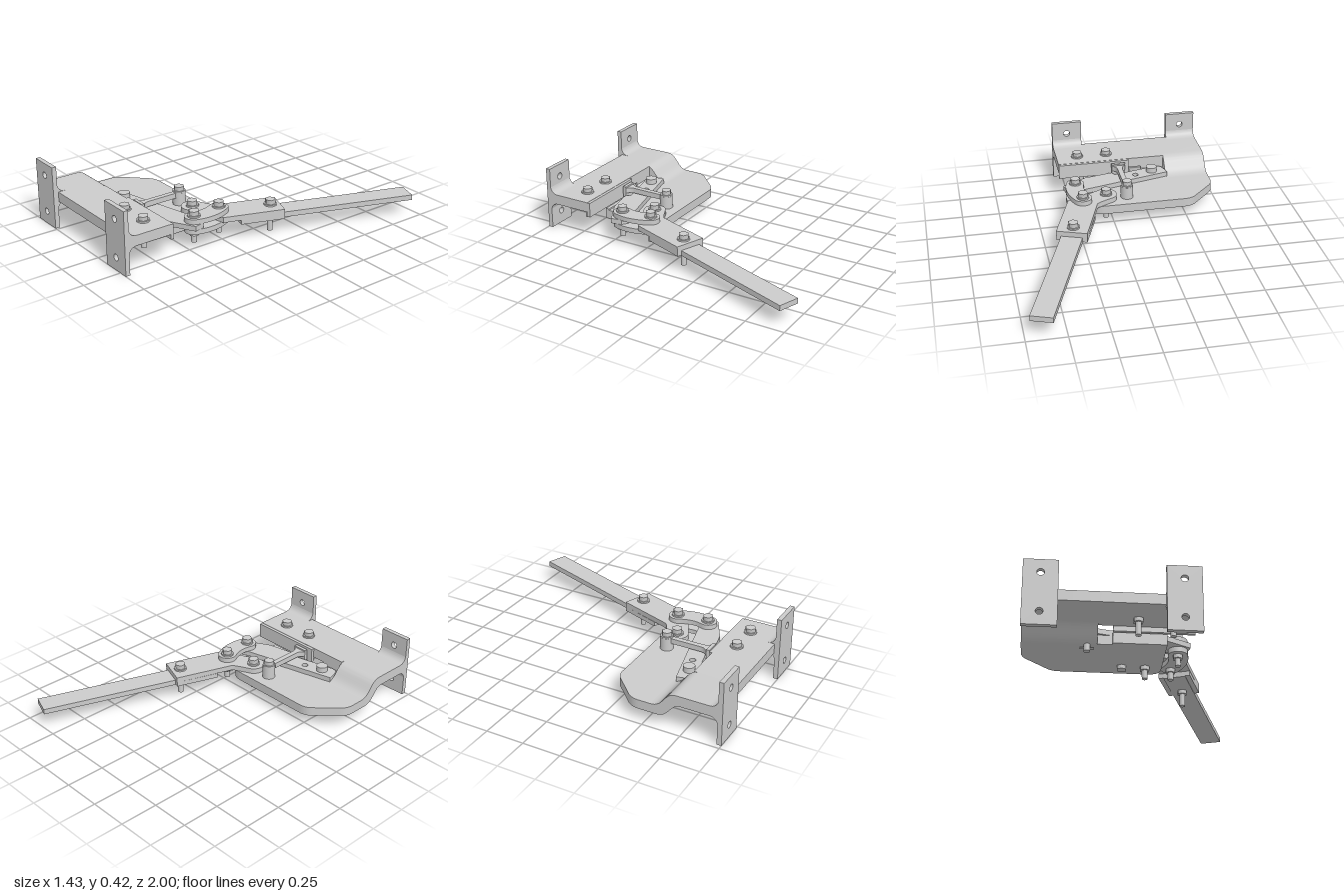
import * as THREE from 'three';
import { toCreasedNormals } from 'three/addons/utils/BufferGeometryUtils.js';

export function createModel() {
  const model = new THREE.Group();
  const mat = new THREE.MeshStandardMaterial({ color: 0xcccccc });
  const V = (x, y) => new THREE.Vector2(x, y);

  function add(name, geo, parent = model) {
    const mesh = new THREE.Mesh(geo, mat);
    mesh.name = name;
    parent.add(mesh);
    return mesh;
  }
  function extrude(shape, depth) {
    return toCreasedNormals(new THREE.ExtrudeGeometry(shape, { depth, bevelEnabled: false, curveSegments: 20 }), 0.5);
  }
  // Flat plate lying between heights y0 and y1; shape drawn as (x, -z)
  function plate(name, shape, y0, y1) {
    return add(name, extrude(shape, y1 - y0).rotateX(-Math.PI / 2).translate(0, y0, 0));
  }
  const poly = pts => new THREE.Shape(pts.map(([x, z]) => V(x, -z)));
  function box(name, x0, x1, y0, y1, z0, z1) {
    return add(name, new THREE.BoxGeometry(x1 - x0, y1 - y0, z1 - z0)
      .translate((x0 + x1) / 2, (y0 + y1) / 2, (z0 + z1) / 2));
  }
  function cyl(name, r, x, y0, y1, z, sides = 28, parent = model) {
    return add(name, new THREE.CylinderGeometry(r, r, y1 - y0, sides).translate(x, (y0 + y1) / 2, z), parent);
  }
  function hole(shape, x, y, r) {
    shape.holes.push(new THREE.Path().absarc(x, y, r, 0, Math.PI * 2, true));
  }
  // Side section drawn as (z, y), extruded along x from x0 to x1
  function section(name, shape, x0, x1) {
    return add(name, extrude(shape, x1 - x0).rotateY(-Math.PI / 2).translate(x1, 0, 0));
  }

  // Body: upper shelf, S-bend and lower table
  function bend(pocket) {
    const s = new THREE.Shape();
    s.moveTo(0.965, 0.245);
    s.lineTo(0.965, 0.178);
    s.lineTo(0.73, 0.178);
    s.bezierCurveTo(0.67, 0.178, 0.66, 0.08, 0.58, 0.08);
    s.lineTo(0.54, 0.08);
    s.lineTo(0.54, 0.14);
    if (pocket) {
      s.lineTo(0.655, 0.14);
      s.lineTo(0.675, 0.16);
      s.lineTo(0.675, 0.245);
    } else {
      s.bezierCurveTo(0.63, 0.14, 0.62, 0.245, 0.71, 0.245);
    }
    return s;
  }
  section('bodyBend', bend(false), -0.72, -0.43);
  section('bodyBendPocket', bend(true), -0.43, -0.27);
  box('upperShelf', -0.27, 0.31, 0.178, 0.245, 0.675, 0.965);

  const table = new THREE.Shape();
  table.moveTo(-0.72, -0.54);
  table.lineTo(-0.72, -0.46);
  table.quadraticCurveTo(-0.72, -0.41, -0.685, -0.375);
  table.lineTo(-0.56, -0.25);
  table.quadraticCurveTo(-0.53, -0.22, -0.48, -0.22);
  table.lineTo(0.06, -0.22);
  table.quadraticCurveTo(0.145, -0.22, 0.145, -0.30);
  table.lineTo(0.145, -0.62);
  table.lineTo(-0.27, -0.62);
  table.lineTo(-0.27, -0.54);
  plate('lowerTable', table, 0.08, 0.14);

  // Cutting edges beside the gap
  box('lowerBlade', -0.18, 0.145, 0.08, 0.15, 0.62, 0.645);
  box('upperBlade', -0.18, 0.31, 0.145, 0.243, 0.655, 0.675);

  // Mounting feet with holes and fillets above and below the shelf
  for (const [x0, x1] of [[-0.72, -0.515], [0.103, 0.31]]) {
    const foot = new THREE.Shape([V(x0, 0), V(x1, 0), V(x1, 0.418), V(x0, 0.418)]);
    const xc = (x0 + x1) / 2;
    hole(foot, xc, 0.085, 0.022);
    hole(foot, xc, 0.335, 0.022);
    add('mountingFoot', extrude(foot, 0.03).translate(0, 0, 0.97));
    for (const [y, dir] of [[0.245, 1], [0.178, -1]]) {
      const f = new THREE.Shape();
      f.moveTo(0.972, y);
      f.lineTo(0.972, y + dir * 0.055);
      f.quadraticCurveTo(0.965, y, 0.915, y);
      section('footFillet', f, x0, x1);
    }
    box('footJoint', x0, x1, 0.178, 0.245, 0.96, 0.972);
  }

  // Cutter lever, pivoting at its left end
  const cutter = poly([[-0.435, 0.56], [-0.42, 0.62], [-0.405, 0.65], [-0.37, 0.66], [-0.07, 0.59],
    [-0.05, 0.62], [0.14, 0.58], [0.305, 0.49], [0.29, 0.42], [0.24, 0.385], [0.18, 0.41]]);
  hole(cutter, -0.21, -0.56, 0.02);
  plate('cutterLever', cutter, 0.142, 0.175);

  // Pivot pin with its cross pin
  cyl('pivotPin', 0.037, -0.33, 0.1, 0.21, 0.595);
  cyl('pivotPinTail', 0.02, -0.33, 0.042, 0.1, 0.595);
  add('crossPin', new THREE.CylinderGeometry(0.006, 0.006, 0.085, 10).rotateZ(Math.PI / 2)
    .translate(-0.33, 0.062, 0.595));

  // Handle arm with pivot lobe
  const arm = new THREE.Shape();
  arm.moveTo(0.25, 0.17);
  arm.lineTo(0.12, -0.2);
  arm.quadraticCurveTo(0.11, -0.215, 0.01, -0.26);
  arm.absarc(0.04, -0.325, 0.072, 2.0, 5.15, false);
  arm.lineTo(0.18, -0.335);
  arm.lineTo(0.22, -0.30);
  arm.lineTo(0.305, -0.28);
  arm.lineTo(0.44, 0.1);
  plate('handleArm', arm, 0.14, 0.175);

  // Straight bar along the handle axis; a and b are distances from the arm end
  function bar(name, a, b, offset, half, y0, y1) {
    const p = (t, o) => [0.345 + 0.341 * t + 0.94 * o, -0.135 - 0.94 * t + 0.341 * o];
    plate(name, poly([p(a, offset - half), p(a, offset + half), p(b, offset + half), p(b, offset - half)]), y0, y1);
  }
  bar('handle', -0.287, 0.892, 0, 0.07, 0.106, 0.141);
  for (const side of [-1, 1]) bar('armLip', -0.287, 0, side * 0.0855, 0.0155, 0.11, 0.141);

  // Curved links above and below, joining arm to cutter
  const path = new THREE.QuadraticBezierCurve(V(0.21, -0.245), V(0.264, -0.35), V(0.23, -0.45));
  const half = 0.06, left = [], right = [], capA = [], capB = [];
  for (let i = 0; i <= 12; i++) {
    const p = path.getPoint(i / 12), t = path.getTangent(i / 12);
    left.push(V(p.x - t.y * half, p.y + t.x * half));
    right.push(V(p.x + t.y * half, p.y - t.x * half));
  }
  for (const [cap, u] of [[capA, 0], [capB, 1]]) {
    const p = path.getPoint(u), t = path.getTangent(u);
    const start = Math.atan2(t.y, t.x) + (u ? -Math.PI / 2 : Math.PI / 2);
    for (let i = 1; i < 16; i++) {
      const a = start + Math.PI * i / 16;
      cap.push(V(p.x + half * Math.cos(a), p.y + half * Math.sin(a)));
    }
  }
  const link = new THREE.Shape([...right, ...capB, ...left.reverse(), ...capA]);
  plate('upperLink', link, 0.176, 0.208);
  plate('lowerLink', link, 0.108, 0.141);

  // Hold-down: post, bar and flared end
  cyl('holdDownPost', 0.042, -0.103, 0.14, 0.225, 0.325);
  const hold = new THREE.Shape();
  hold.moveTo(-0.12, -0.34);
  hold.lineTo(-0.12, -0.57);
  hold.quadraticCurveTo(-0.12, -0.6, -0.15, -0.62);
  hold.lineTo(-0.055, -0.62);
  hold.quadraticCurveTo(-0.086, -0.6, -0.086, -0.57);
  hold.lineTo(-0.086, -0.34);
  plate('holdDownBar', hold, 0.19, 0.225);
  box('holdDownFoot', -0.15, -0.055, 0.15, 0.235, 0.62, 0.642);

  // Hex bolts: x, z, seat of head, top of head, underside for the nut, tip
  const bolts = [
    [-0.04, 0.775, 0.245, 0.28, 0.178, 0.07],
    [0.165, 0.775, 0.245, 0.28, 0.178, 0.07],
    [0.325, -0.075, 0.175, 0.214, 0.106, 0],
    [0.21, 0.245, 0.208, 0.246, 0.108, 0.035],
    [0.23, 0.45, 0.208, 0.246, 0.108, 0.035],
    [0.04, 0.325, 0.175, 0.214, 0.08, 0],
    [-0.103, 0.325, 0.225, 0.262, 0.08, 0.055],
  ];
  for (const [x, z, seat, top, under, tip] of bolts) {
    const bolt = new THREE.Group();
    bolt.name = 'bolt';
    model.add(bolt);
    cyl('washer', 0.041, x, seat, seat + 0.01, z, 28, bolt);
    cyl('boltHead', 0.034, x, seat + 0.01, top, z, 6, bolt);
    cyl('boltShank', 0.018, x, tip, seat, z, 20, bolt);
    cyl('nut', 0.032, x, under - 0.025, under, z, 6, bolt);
  }
  return model;
}
